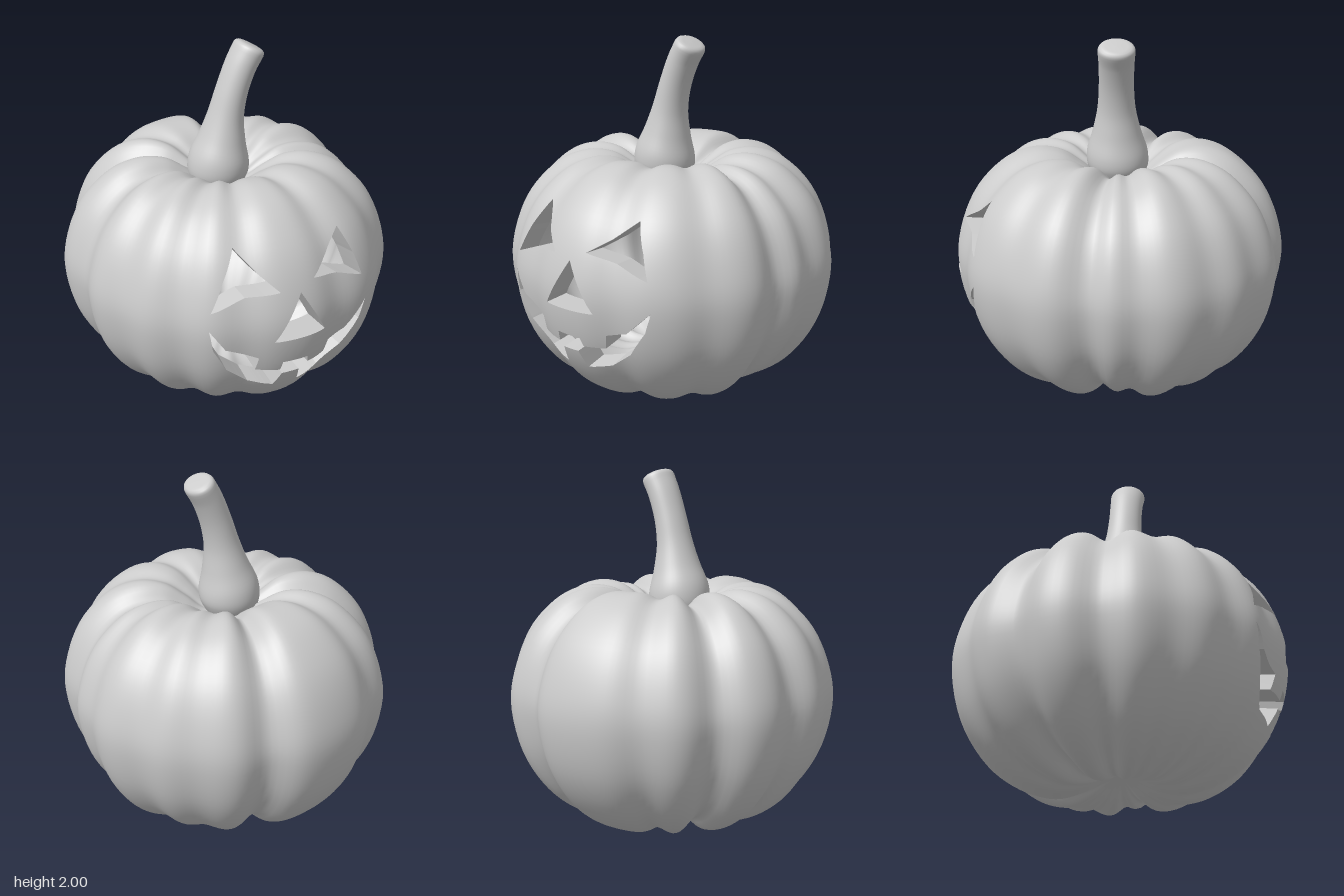
import * as THREE from 'three';

const material = new THREE.MeshStandardMaterial({ color: 0xcccccc });
const v2 = (pts) => pts.map(([x, y]) => new THREE.Vector2(x, y));

// Pumpkin half outline (radius, height), bottom to top
const PROFILE = new THREE.SplineCurve(v2([
  [0, 0.12], [0.1, 0.08], [0.22, 0.025], [0.37, 0.002], [0.56, 0.065], [0.74, 0.205], [0.88, 0.43], [0.94, 0.7],
  [0.91, 0.92], [0.815, 1.13], [0.655, 1.29], [0.49, 1.355], [0.34, 1.342], [0.22, 1.27], [0.12, 1.195], [0, 1.17],
]));

// Grooves between lobes: angle from the front in degrees, depth
const GROOVES = [
  [13, 0.03], [45, 0.025], [73, 0.075], [90, 0.05], [117, 0.03], [137, 0.025], [163, 0.075],
  [212, 0.035], [238, 0.08], [269, 0.06], [293, 0.03], [315, 0.035], [337, 0.03],
];

// Carved openings as outlines in x, y
const CUTS = {
  rightEye: [[-0.505, 0.865], [-0.33, 0.935], [-0.16, 0.955], [-0.25, 1.05], [-0.33, 1.165], [-0.425, 1.02]],
  leftEye: [[0.04, 0.985], [0.21, 0.945], [0.385, 0.875], [0.34, 1.01], [0.275, 1.155], [0.16, 1.06]],
  nose: [[-0.205, 0.675], [0.1, 0.67], [-0.05, 0.935]],
  mouth: [
    [-0.52, 0.765], [-0.5, 0.64], [-0.42, 0.49], [-0.285, 0.365], [-0.15, 0.317], [-0.13, 0.423], [-0.03, 0.423],
    [-0.005, 0.317], [0.138, 0.35], [0.27, 0.45], [0.375, 0.6], [0.412, 0.715], [0.27, 0.58], [0.153, 0.55],
    [0.138, 0.468], [0.016, 0.466], [0.005, 0.513], [-0.143, 0.52], [-0.148, 0.46], [-0.275, 0.476], [-0.27, 0.565],
    [-0.44, 0.64],
  ],
};

// Smooth surface from rings, closed around
function ringSurface(rows, cols, point) {
  const pos = [], index = [];
  for (let i = 0; i <= rows; i++) {
    for (let j = 0; j < cols; j++) {
      pos.push(...point(i, (j / cols) * Math.PI * 2));
      if (i === rows) continue;
      const a = i * cols + j, b = i * cols + ((j + 1) % cols);
      index.push(a, b, b + cols, a, b + cols, a + cols);
    }
  }
  const g = new THREE.BufferGeometry();
  g.setAttribute('position', new THREE.Float32BufferAttribute(pos, 3));
  g.setIndex(index);
  g.computeVertexNormals();
  return g;
}

function bodyGeometry() {
  const rows = 72;
  return ringSurface(rows, 160, (i, angle) => {
    const t = i / rows, p = PROFILE.getPoint(t), d = PROFILE.getTangent(t);
    let sink = 0;
    for (const [deg, depth] of GROOVES) {
      const delta = angle - THREE.MathUtils.degToRad(deg);
      const w = Math.atan2(Math.sin(delta), Math.cos(delta)) / 0.135;
      sink += depth * Math.exp(-w * w);
    }
    sink *= THREE.MathUtils.smoothstep(p.x, 0, 0.5) * (1 + 0.15 * Math.abs(d.x));
    const r = Math.max(0, p.x - d.y * sink);
    return [r * Math.sin(angle) * 0.985, p.y + d.x * sink, r * Math.cos(angle)];
  });
}

// Splits a convex polygon by the line a-b; returns [left part, right part]
function split(poly, a, b) {
  const side = (p) => (b.x - a.x) * (p[1] - a.y) - (b.y - a.y) * (p[0] - a.x);
  const left = [], right = [];
  poly.forEach((p, i) => {
    const q = poly[(i + 1) % poly.length], sp = side(p), sq = side(q);
    if (sp >= 0) left.push(p);
    if (sp <= 0) right.push(p);
    if (sp * sq < 0) {
      const k = sp / (sp - sq), m = p.map((v, c) => v + (q[c] - v) * k);
      left.push(m);
      right.push(m);
    }
  });
  return [left, right];
}

// Subtracts a triangle from a polygon
function subtract(poly, tri) {
  const outside = [];
  let rest = poly;
  for (let e = 0; e < 3; e++) {
    const [l, r] = split(rest, tri[e], tri[(e + 1) % 3]);
    if (l.length < 3) return { outside: [poly], inside: null };
    if (r.length > 2) outside.push(r);
    rest = l;
  }
  return { outside, inside: rest };
}

// Vertices are [x, y, z, nx, ny, nz]
function meshFromPolygons(name, polys) {
  const pos = [], nor = [];
  for (const poly of polys) {
    for (let i = 1; i < poly.length - 1; i++) {
      for (const p of [poly[0], poly[i], poly[i + 1]]) {
        pos.push(p[0], p[1], p[2]);
        nor.push(p[3], p[4], p[5]);
      }
    }
  }
  const g = new THREE.BufferGeometry();
  g.setAttribute('position', new THREE.Float32BufferAttribute(pos, 3));
  g.setAttribute('normal', new THREE.Float32BufferAttribute(nor, 3));
  g.normalizeNormals();
  const mesh = new THREE.Mesh(g, material);
  mesh.name = name;
  return mesh;
}

// Matching point on the hollow inside, facing inward
function inner(p) {
  const s = 0.83 + 0.12 * THREE.MathUtils.smoothstep(p[2], 0.3, 0.65);
  return [p[0] * s, 0.72 + (p[1] - 0.72) * s, p[2] * 0.83, -p[3], -p[4], -p[5]];
}

// Side wall through the flesh below the cut edge p-q
function wall(p, q) {
  const [a, b, c, d] = [p, q, inner(q), inner(p)].map((v) => new THREE.Vector3(v[0], v[1], v[2]));
  const n = b.clone().sub(a).cross(d.clone().sub(a)).normalize();
  return [a, b, c, d].map((v) => [...v.toArray(), ...n.toArray()]);
}

// True when the edge p-q lies on the outline
function onOutline(p, q, outline) {
  return outline.some((a, i) => {
    const b = outline[(i + 1) % outline.length], e = b.clone().sub(a), len = e.length();
    return [p, q].every((v) => {
      const x = v[0] - a.x, y = v[1] - a.y, along = (x * e.x + y * e.y) / len;
      return Math.abs(x * e.y - y * e.x) / len < 1e-6 && along > -1e-6 && along < len + 1e-6;
    });
  });
}

function carvedBody() {
  const group = new THREE.Group();
  group.name = 'carvedPumpkin';
  const g = bodyGeometry().toNonIndexed();
  const P = g.attributes.position, N = g.attributes.normal;
  const back = [];
  let front = [];
  for (let i = 0; i < P.count; i += 3) {
    const poly = [i, i + 1, i + 2].map((k) => [P.getX(k), P.getY(k), P.getZ(k), N.getX(k), N.getY(k), N.getZ(k)]);
    const isFront = poly.every((p) => p[2] > 0.3 && p[1] > 0.2 && p[1] < 1.3 && Math.abs(p[0]) < 0.65);
    (isFront ? front : back).push(poly);
  }
  for (const [name, pts] of Object.entries(CUTS)) {
    const outline = v2(pts), walls = [];
    for (const face of THREE.ShapeUtils.triangulateShape(outline, [])) {
      const tri = face.map((k) => outline[k]);
      if (THREE.ShapeUtils.area(tri) < 0) tri.reverse();
      const kept = [];
      for (const poly of front) {
        const { outside, inside } = subtract(poly, tri);
        kept.push(...outside);
        if (!inside) continue;
        inside.forEach((p, i) => {
          const q = inside[(i + 1) % inside.length];
          if (onOutline(p, q, outline)) walls.push(wall(p, q));
        });
      }
      front = kept;
    }
    group.add(meshFromPolygons(name, walls));
  }
  const skin = back.concat(front);
  group.add(meshFromPolygons('skin', skin));
  group.add(meshFromPolygons('hollowInside', skin.map((poly) => poly.map(inner).reverse())));
  return group;
}

// Stem: curve of (x, y, radius), leaning sideways, with a rounded cut end
function stem() {
  const curve = new THREE.CatmullRomCurve3([
    [-0.045, 1.14, 0.08], [-0.045, 1.18, 0.135], [-0.045, 1.25, 0.168], [-0.04, 1.33, 0.167], [-0.022, 1.45, 0.13],
    [0, 1.58, 0.099], [0.035, 1.72, 0.086], [0.088, 1.86, 0.083], [0.132, 1.94, 0.083],
  ].map((p) => new THREE.Vector3(...p)));
  const rows = 40, cap = [[0.012, 0.98], [0.022, 0.92], [0.029, 0.8], [0.032, 0.6], [0.033, 0]];
  const g = ringSurface(rows + cap.length, 40, (i, angle) => {
    const t = Math.min(1, i / rows), p = curve.getPoint(t), d = curve.getTangent(t);
    const [lift, shrink] = i > rows ? cap[i - rows - 1] : [0, 1];
    const l = Math.hypot(d.x, d.y), tx = d.x / l, ty = d.y / l;
    const u = p.z * shrink * Math.sin(angle), w = p.z * shrink * Math.cos(angle) * (1 + 0.24 * t * t);
    return [p.x + tx * lift + ty * u, p.y + ty * lift - tx * u, 0.005 + 0.03 * t + w];
  });
  const mesh = new THREE.Mesh(g, material);
  mesh.name = 'stem';
  return mesh;
}

export function createModel() {
  const model = new THREE.Group();
  model.name = 'carvedPumpkinLantern';
  model.add(carvedBody(), stem());
  return model;
}
